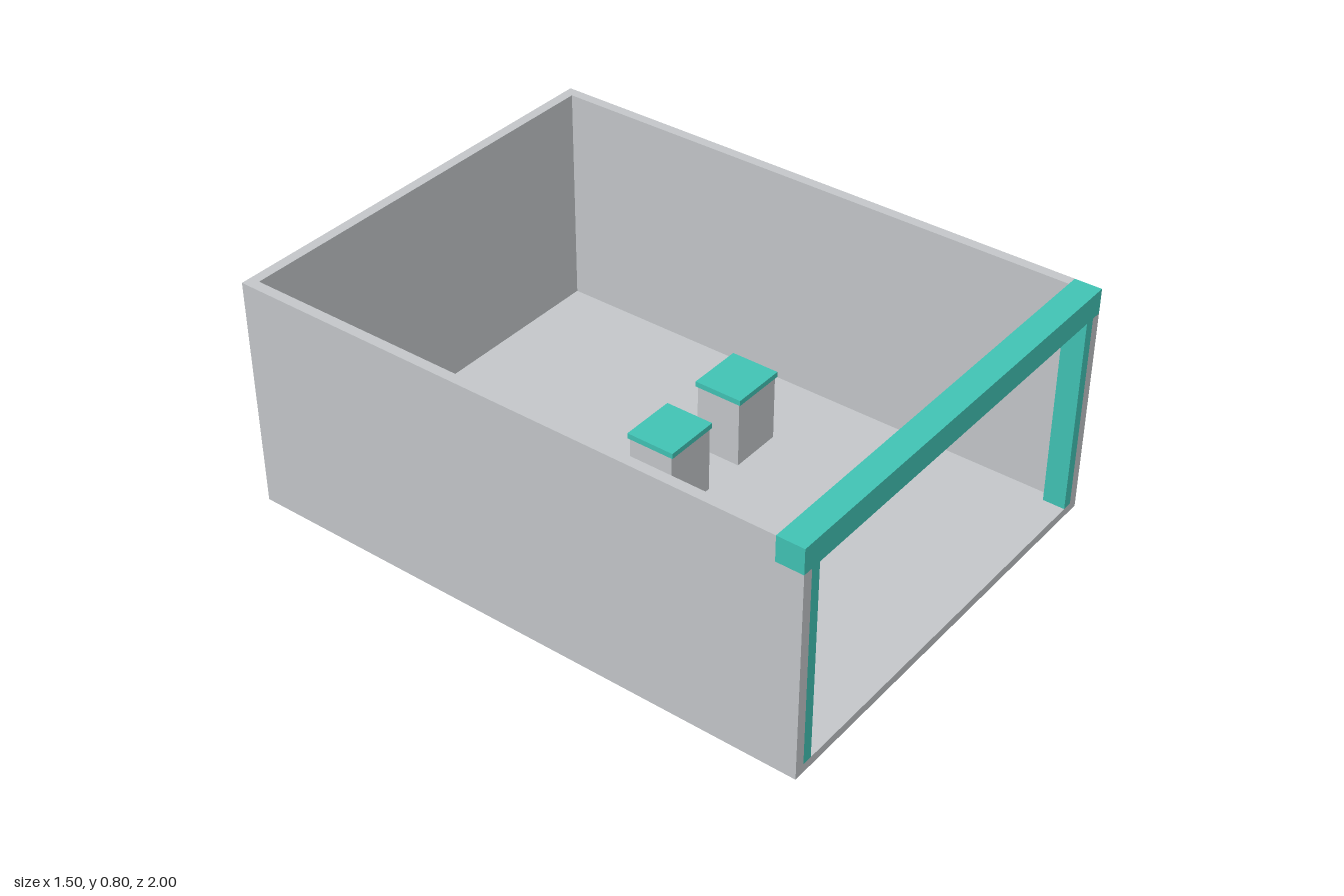
import * as THREE from 'three';

export function createModel() {
  const grey = new THREE.MeshStandardMaterial({ color: 0xc3c6c9 });
  grey.name = 'light grey';
  const teal = new THREE.MeshStandardMaterial({ color: 0x41c2b4 });
  teal.name = 'teal';

  const model = new THREE.Group();
  model.name = 'openBooth';

  // Adds a box given its extents along each axis
  function box(name, material, [x0, x1], [y0, y1], [z0, z1], parent = model) {
    const mesh = new THREE.Mesh(new THREE.BoxGeometry(x1 - x0, y1 - y0, z1 - z0), material);
    mesh.position.set((x0 + x1) / 2, (y0 + y1) / 2, (z0 + z1) / 2);
    mesh.name = name;
    parent.add(mesh);
  }

  const W = 0.75, H = 0.8, T = 0.035, FLOOR = 0.03;
  const BEAM_Y = 0.715, BEAM_Z = 0.91;
  const inner = W - T;

  // Shell: floor, back wall and two side walls notched for the beam
  box('floor', grey, [-inner, inner], [0, FLOOR], [-1 + T, 1]);
  box('backWall', grey, [-inner, inner], [0, H], [-1, -1 + T]);

  const profile = new THREE.Shape([
    [-1, 0], [1, 0], [1, BEAM_Y], [BEAM_Z, BEAM_Y], [BEAM_Z, H], [-1, H],
  ].map(([z, y]) => new THREE.Vector2(-z, y)));
  const wallGeometry = new THREE.ExtrudeGeometry(profile, { depth: T, bevelEnabled: false });
  wallGeometry.rotateY(Math.PI / 2);
  for (const [name, x] of [['rightWall', -W], ['leftWall', inner]]) {
    const wall = new THREE.Mesh(wallGeometry, grey);
    wall.position.x = x;
    wall.name = name;
    model.add(wall);
  }

  // Front frame: header beam and a post inside each wall
  box('headerBeam', teal, [-W, W], [BEAM_Y, H], [BEAM_Z, 1]);
  box('rightPost', teal, [-inner, -0.68], [FLOOR, BEAM_Y], [0.925, 1]);
  box('leftPost', teal, [0.68, inner], [FLOOR, BEAM_Y], [0.925, 1]);
  // Post facing on the outside of the left wall
  box('leftPostFacing', teal, [W - 0.002, W + 0.001], [0.002, BEAM_Y], [0.925, 0.999]);

  // Three display plinths with overhanging tops
  for (const x of [-0.345, 0, 0.342]) {
    const plinth = new THREE.Group();
    plinth.name = 'plinth';
    plinth.position.set(x, 0, -0.005);
    box('plinthBody', grey, [-0.095, 0.095], [FLOOR, 0.265], [-0.08, 0.08], plinth);
    box('plinthTop', teal, [-0.099, 0.099], [0.265, 0.284], [-0.086, 0.086], plinth);
    model.add(plinth);
  }

  return model;
}
